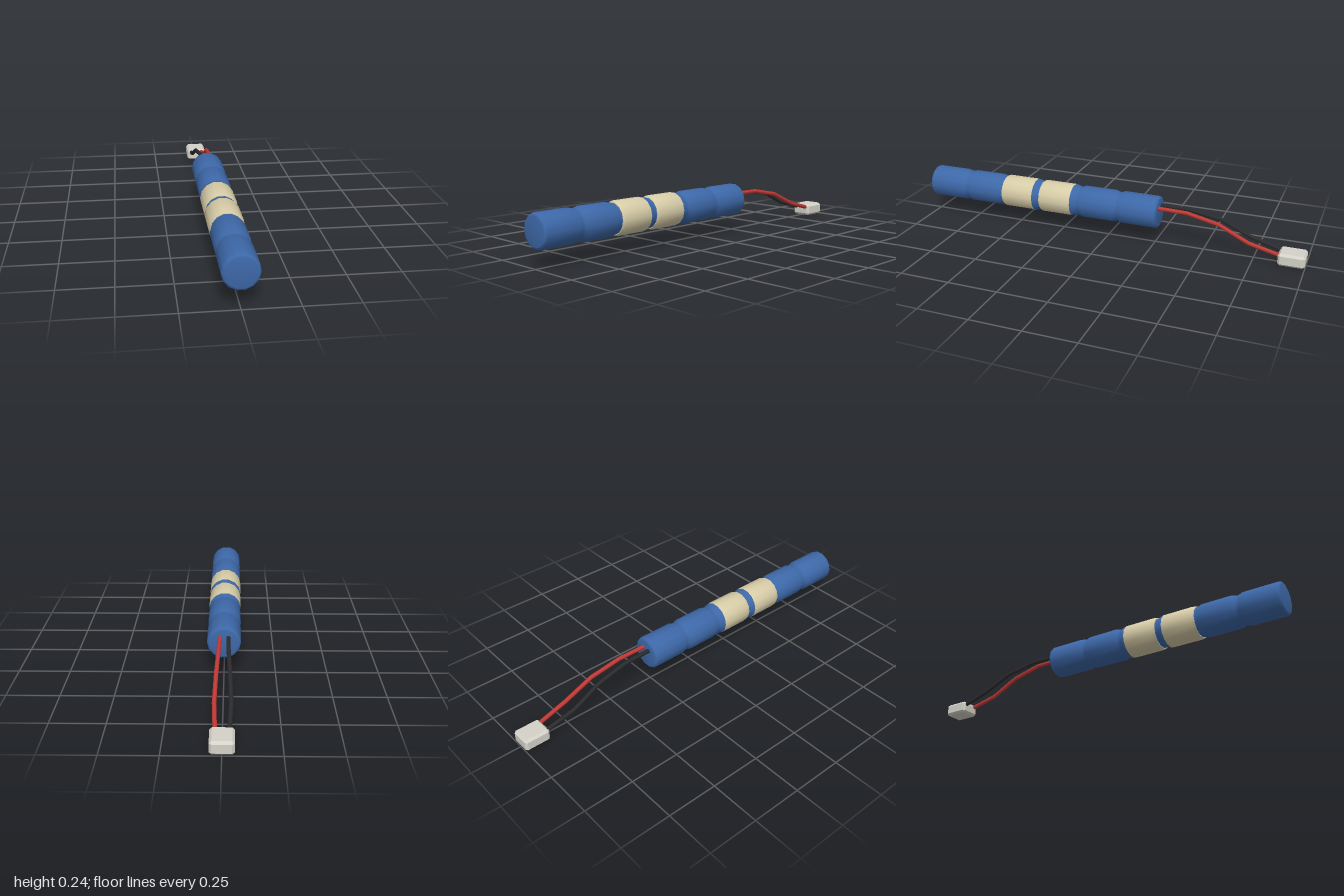
import * as THREE from 'three';
import { toCreasedNormals } from 'three/addons/utils/BufferGeometryUtils.js';
import { ConvexGeometry } from 'three/addons/geometries/ConvexGeometry.js';

const material = (color) => new THREE.MeshStandardMaterial({ color });
const blue = material(0x3d68a8);
const cream = material(0xd8cda8);
const red = material(0xc23a36);
const black = material(0x2c2c2e);
const shell = material(0xd4d2c8);

const R = 0.082, AXIS_Y = 0.163, BACK = -0.27, FRONT = 1, CELLS = 6;
const PITCH = (FRONT - BACK) / CELLS;

function add(group, name, geometry, mat) {
  const mesh = new THREE.Mesh(geometry, mat);
  mesh.name = name;
  group.add(mesh);
  return mesh;
}

// 14-sided turned part lying along z; profile is [radius, z] from back to front
function turned(profile) {
  const points = profile.map(([r, z]) => new THREE.Vector2(r, z));
  const geometry = new THREE.LatheGeometry(points, 14, Math.PI / 2);
  geometry.rotateX(Math.PI / 2).translate(0, AXIS_Y, 0);
  return toCreasedNormals(geometry, 0.7);
}

// Shrink-wrapped row of cells: rounded ends, shallow waist between cells
function wrapProfile() {
  const e = 0.014;
  const end = [[R - e, 0], [R - e * 0.5, e * 0.13], [R - e * 0.13, e * 0.5], [R, e]];
  const profile = [[0, BACK], ...end.map(([r, d]) => [r, BACK + d])];
  for (let i = 1; i < CELLS; i++) {
    const z = BACK + i * PITCH;
    profile.push([R, z - 0.028], [R - 0.006, z - 0.01], [R - 0.008, z], [R - 0.006, z + 0.01], [R, z + 0.028]);
  }
  profile.push(...end.reverse().map(([r, d]) => [r, FRONT - d]), [0, FRONT]);
  return profile;
}

// Thin label around one cell, with turned-in edges
function labelProfile(z) {
  const h = 0.093, r = R + 0.001;
  return [[R - 0.01, z - h], [r - 0.005, z - h], [r, z - h + 0.016],
    [r, z + h - 0.016], [r - 0.005, z + h], [R - 0.01, z + h]];
}

// Box with every edge and corner chamfered
function chamferedBox(w, h, d, c) {
  const points = [];
  for (const x of [-1, 1]) for (const y of [-1, 1]) for (const z of [-1, 1]) {
    for (let axis = 0; axis < 3; axis++) {
      const p = [w, h, d].map((s, i) => s / 2 - (i === axis ? 0 : c));
      points.push(new THREE.Vector3(x * p[0], y * p[1], z * p[2]));
    }
  }
  return new ConvexGeometry(points);
}

// Drooping lead from the pack to the plug, on the given side
function wire(side) {
  const path = [[0.02, 0.191, -0.25], [0.023, 0.191, -0.4], [0.03, 0.163, -0.56],
    [0.037, 0.086, -0.73], [0.03, 0.045, -0.885]];
  const points = path.map(([x, y, z]) => new THREE.Vector3(side * x, y, z));
  return new THREE.TubeGeometry(new THREE.CatmullRomCurve3(points), 4, 0.011, 6);
}

export function createModel() {
  const model = new THREE.Group();
  model.name = 'batteryPack';

  add(model, 'cellWrap', turned(wrapProfile()), blue);
  add(model, 'labelBack', turned(labelProfile(0.268)), cream);
  add(model, 'labelFront', turned(labelProfile(0.48)), cream);

  add(model, 'wireLeft', wire(1), red);
  add(model, 'wireRight', wire(-1), black);

  const plug = add(model, 'plug', chamferedBox(0.106, 0.063, 0.13, 0.011), shell);
  plug.position.set(0, 0.0315, -0.935);

  return model;
}
